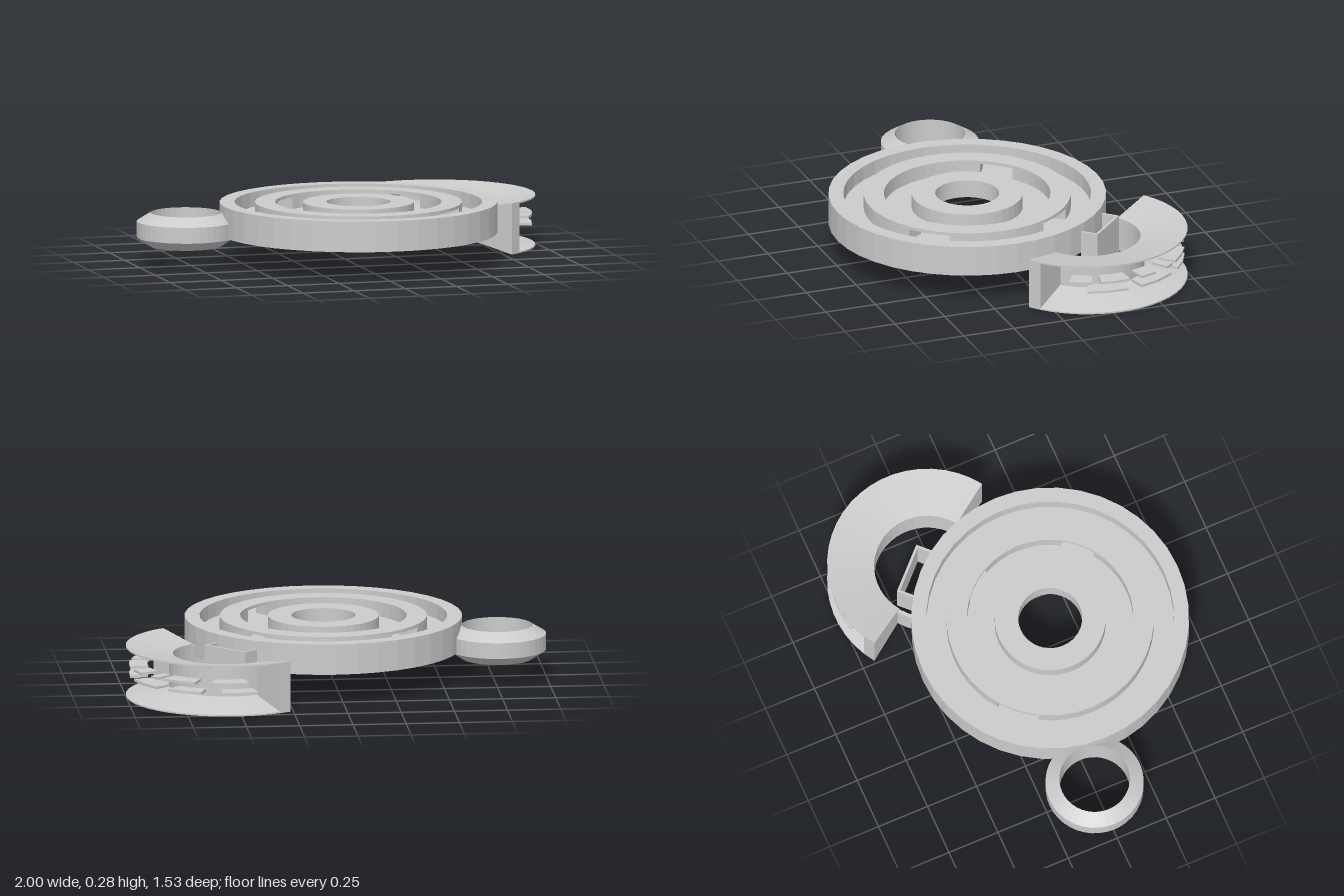
import * as THREE from 'three';

const material = new THREE.MeshStandardMaterial({ color: 0xcccccc, flatShading: true, side: THREE.DoubleSide });
const rad = THREE.MathUtils.degToRad;

// Sweep a closed [radius, y] section round the y axis; from/to are plan angles in degrees (x towards z).
function sweep(name, section, segments = 40, from = 0, to = 360) {
  const group = new THREE.Group();
  group.name = name;
  const points = [...section, section[0]].map(([r, y]) => new THREE.Vector2(r, y));
  const geometry = new THREE.LatheGeometry(points, segments, rad(90 - to), rad(to - from));
  const body = new THREE.Mesh(geometry, material);
  body.name = name + 'Body';
  group.add(body);
  if (to - from < 360) {
    const cap = new THREE.ShapeGeometry(new THREE.Shape(points));
    for (const angle of [from, to]) {
      const end = new THREE.Mesh(cap, material);
      end.name = name + 'End';
      end.rotation.y = -rad(angle);
      group.add(end);
    }
  }
  return group;
}

const band = (r0, r1, y0, y1) => [[r0, y0], [r1, y0], [r1, y1], [r0, y1]];

// Large disc with three raised rings and two grooves
function createDisc() {
  const disc = new THREE.Group();
  disc.name = 'disc';
  disc.position.set(0.035, 0, 0.11);
  disc.add(sweep('discBase', [
    [0.15, 0.2], [0.39, 0.2], [0.39, 0.14], [0.65, 0.14], [0.65, 0.285], [0.58, 0.285],
    [0.58, 0.215], [0.26, 0.215], [0.26, 0.285], [0.15, 0.285],
  ]));
  disc.add(sweep('middleRingTop', band(0.39, 0.485, 0.27, 0.285)));
  // middle ring walls, leaving windows between them
  const windows = [-138, -38, 43];
  const half = 12;
  windows.forEach((angle, i) => {
    const next = i < 2 ? windows[i + 1] : windows[0] + 360;
    const steps = Math.round((next - angle) / 9);
    disc.add(sweep('middleRingWall', band(0.39, 0.485, 0.21, 0.272), steps, angle + half, next - half));
  });
  return disc;
}

// Half spool: flared flanges on a round neck, closed by solid end wedges
function createSpool() {
  const spool = new THREE.Group();
  spool.name = 'halfSpool';
  spool.position.set(0.53, 0, -0.3);
  const start = -124.5, end = 56.5, wedge = 7.5;
  spool.add(sweep('neck', band(0.25, 0.268, 0.05, 0.195), 40));
  spool.add(sweep('upperFlange', [[0.25, 0.19], [0.268, 0.19], [0.47, 0.235], [0.47, 0.242], [0.25, 0.203]], 24, start, end));
  spool.add(sweep('lowerFlange', [[0.25, 0.04], [0.47, 0], [0.47, 0.007], [0.268, 0.052], [0.25, 0.052]], 24, start, end));
  for (const a of [start, end - wedge]) {
    spool.add(sweep('endWall', [[0.25, 0.045], [0.47, 0.002], [0.47, 0.24], [0.25, 0.198]], 1, a, a + wedge));
  }
  // staggered thin tabs in two rows
  const rows = [
    [0.15, [[18, 32], [-5, 13], [-24, -13], [-40, -34], [-66, -44], [-98, -76]]],
    [0.104, [[-4, 21], [-39, -13], [-70, -48], [-104, -82]]],
  ];
  for (const [y, arcs] of rows) {
    for (const [a, b] of arcs) {
      spool.add(sweep('tab', band(0.37, 0.455, y - 0.006, y + 0.006), 2, a, b));
    }
  }
  return spool;
}

// Thin three-sided bracket between the disc and the spool
function createBracket() {
  const bracket = new THREE.Group();
  bracket.name = 'bracket';
  bracket.position.set(0.52, 0.15, -0.375);
  bracket.rotation.y = -rad(45);
  const add = (name, w, d, x, z) => {
    const mesh = new THREE.Mesh(new THREE.BoxGeometry(w, 0.19, d), material);
    mesh.name = name;
    mesh.position.set(x, 0, z);
    bracket.add(mesh);
  };
  add('bracketFront', 0.25, 0.012, 0, -0.03);
  for (const side of [-1, 1]) add('bracketSide', 0.012, 0.08, side * 0.119, 0.01);
  return bracket;
}

export function createModel() {
  const model = new THREE.Group();
  model.name = 'model';
  model.add(createDisc(), createSpool(), createBracket());
  // Small bevelled ring beside the disc
  const ring = sweep('sideRing', [
    [0.165, 0.092], [0.23, 0.135], [0.23, 0.21], [0.165, 0.25],
  ]);
  ring.position.set(-0.77, 0, -0.015);
  model.add(ring);
  return model;
}
